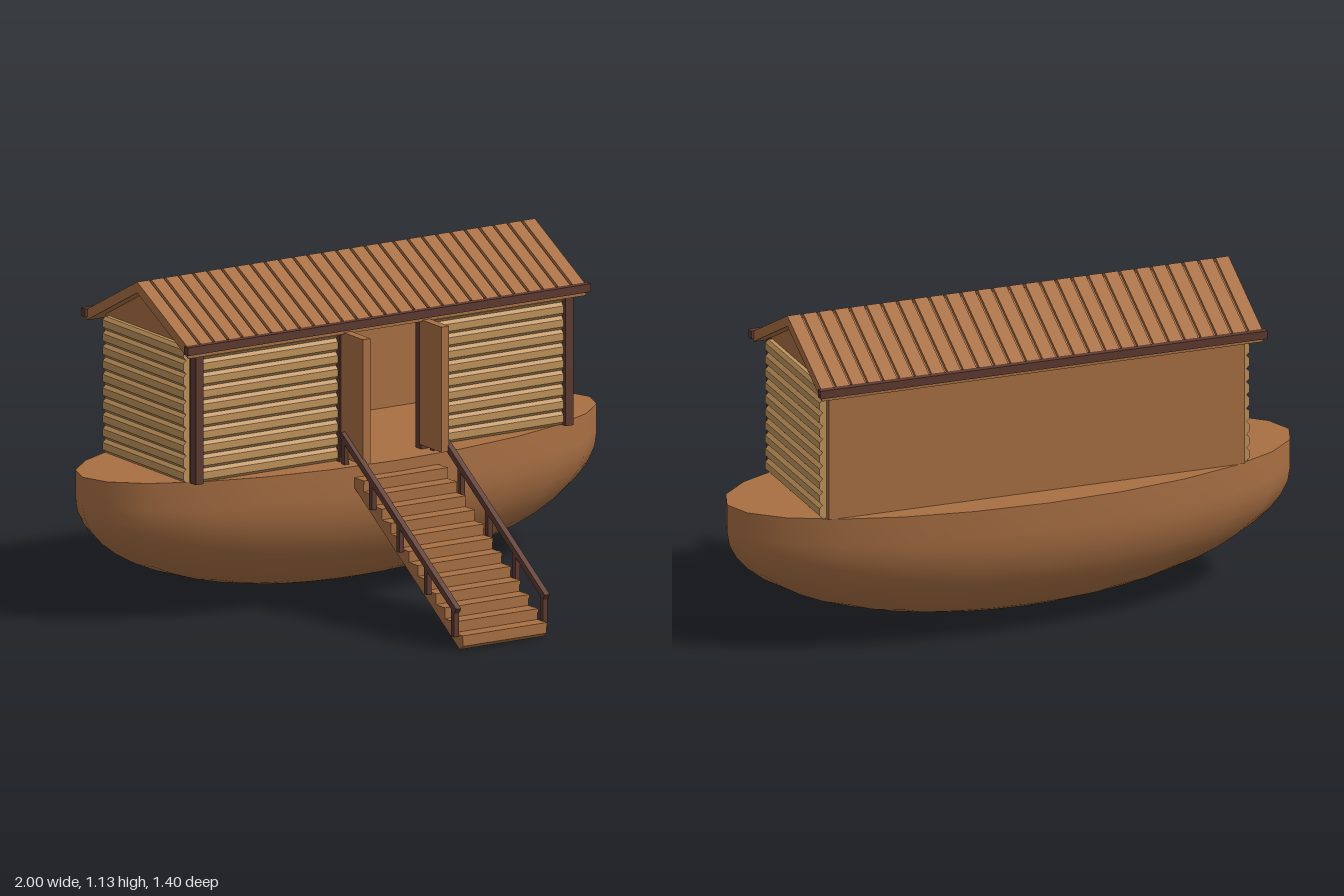
import * as THREE from 'three';

const mat = (name, color) => Object.assign(new THREE.MeshStandardMaterial({ color }), { name });

export function createModel() {
  const wood = mat('brown wood', 0xaa7044);
  const logWood = mat('pale log wood', 0xc0935c);
  const trim = mat('dark trim', 0x5e3a30);
  const model = new THREE.Group();
  model.name = 'houseBoat';
  const MID = -0.325; // depth of the ridge and the hull's centre line

  const group = (name) => {
    const g = new THREE.Group();
    g.name = name;
    model.add(g);
    return g;
  };
  const add = (parent, name, geo, material) => {
    const m = new THREE.Mesh(geo, material);
    m.name = name;
    parent.add(m);
    return m;
  };
  // Box given by its limits on each axis
  const box = (parent, name, material, [x0, x1], [y0, y1], [z0, z1]) => {
    const m = add(parent, name, new THREE.BoxGeometry(x1 - x0, y1 - y0, z1 - z0), material);
    m.position.set((x0 + x1) / 2, (y0 + y1) / 2, (z0 + z1) / 2);
    return m;
  };
  // Profile of (z, y) points, extruded along x and centred on x = 0
  const prism = (points, width) => {
    const shape = new THREE.Shape(points.map(([z, y]) => new THREE.Vector2(z, y)));
    const geo = new THREE.ExtrudeGeometry(shape, { depth: width, bevelEnabled: false });
    return geo.translate(0, 0, -width / 2).rotateY(-Math.PI / 2);
  };

  // Hull: half ellipsoid with a short upright rim
  const RIM = 0.49, WATER = 0.395, R = 0.375;
  const profile = [];
  for (let i = 0; i <= 12; i++) {
    const a = (i / 12) * Math.PI / 2;
    profile.push(new THREE.Vector2(R * Math.sin(a), WATER - R * Math.cos(a)));
  }
  profile.push(new THREE.Vector2(R, RIM));
  const hull = add(model, 'hull', new THREE.LatheGeometry(profile, 24), wood);
  hull.scale.x = 1 / R;
  hull.position.z = MID;
  const deck = add(model, 'deck', new THREE.CircleGeometry(R, 24).rotateX(-Math.PI / 2), wood);
  deck.scale.x = 1 / R;
  deck.position.set(0, RIM, MID);

  // Cabin walls, hollow behind the doorway
  const cabin = group('cabin');
  const TOP = 0.955;
  box(cabin, 'backWall', wood, [-0.74, 0.74], [RIM, TOP + 0.02], [-0.585, -0.565]);
  box(cabin, 'doorLintel', wood, [-0.17, 0.17], [0.935, TOP + 0.02], [-0.065, -0.04]);
  const ROWS = 10, pitch = (TOP - RIM) / ROWS;
  // Bevelled log: flat face outwards, chamfered top and bottom
  const h = pitch / 2;
  const logProfile = [[-0.015, -h], [0.004, -h], [0.015, -h + 0.011], [0.015, h - 0.011], [0.004, h], [-0.015, h]];
  const frontLog = prism(logProfile, 0.545);
  const sideLog = prism(logProfile, 0.49);

  for (const s of [-1, 1]) {
    const span = (a, b) => (s > 0 ? [a, b] : [-b, -a]);
    box(cabin, 'frontWall', wood, span(0.17, 0.74), [RIM, TOP], [-0.078, -0.062]);
    box(cabin, 'sideWall', wood, span(0.72, 0.74), [RIM, TOP], [-0.575, -0.065]);
    box(cabin, 'cornerPost', trim, span(0.715, 0.745), [RIM, TOP], [-0.066, -0.03]);
    box(cabin, 'doorPost', trim, span(0.145, 0.175), [RIM, TOP], [-0.066, -0.032]);
    box(cabin, 'openDoor', wood, span(0.14, 0.17), [0.507, 0.935], [-0.032, 0.1]);
    for (let i = 0; i < ROWS; i++) {
      const y = RIM + (i + 0.5) * pitch;
      add(cabin, 'frontLog', frontLog, logWood).position.set(s * 0.4425, y, -0.06);
      const side = add(cabin, 'sideLog', sideLog, logWood);
      side.position.set(s * 0.75, y, -0.32);
      side.rotation.y = s * Math.PI / 2;
    }
    const gable = add(cabin, 'gable', prism([[-0.06, TOP], [MID, 1.1], [-0.59, TOP]], 0.02), wood);
    gable.position.x = s * 0.73;
  }

  // Roof: two slopes of planks over a sheet, with dark eave beams
  const roof = group('roof');
  const PLANKS = 28, plankPitch = 1.58 / PLANKS;
  const slope = (eave, y0, y1, t) => [[0, y1], [0, y1 + t], [eave, y0 + t], [eave, y0]];
  const sheet = prism(slope(0.31, 0.93, 1.09, 0.024), 1.57);
  const plank = prism(slope(0.32, 0.948, 1.113, 0.014), plankPitch - 0.01);
  for (const turn of [0, Math.PI]) {
    const half = new THREE.Group();
    half.name = 'roofSlope';
    half.position.z = MID;
    half.rotation.y = turn;
    roof.add(half);
    add(half, 'roofSheet', sheet, wood);
    for (let i = 0; i < PLANKS; i++) {
      add(half, 'roofPlank', plank, wood).position.x = (i + 0.5) * plankPitch - 0.79;
    }
    box(half, 'eaveBeam', trim, [-0.795, 0.795], [0.944, 0.972], [0.3, 0.325]);
  }

  // Stairs: one stepped profile with a sloping underside
  const stairs = group('stairs');
  const STEPS = 12, run = 0.0548, rise = 0.0365;
  const steps = [[0.68, 0], [0.7, 0.015]];
  for (let i = 0; i < STEPS; i++) {
    const z = 0.7 - run * i, y = 0.05 + rise * i;
    steps.push([z, y], [z - run, y]);
  }
  steps.push([0.042, 0.415]);
  add(stairs, 'steps', prism(steps, 0.33), wood);
  // Thin nosings on the treads
  for (let i = 0; i < STEPS; i++) {
    const z = 0.7 - run * i, y = 0.05 + rise * i;
    box(stairs, 'treadNosing', wood, [-0.166, 0.166], [y - 0.012, y + 0.001], [z - 0.02, z + 0.003 * (i > 0)]);
  }

  // Handrails
  const railLow = [0.677, 0.137], railHigh = [-0.008, 0.585];
  const dz = railHigh[0] - railLow[0], dy = railHigh[1] - railLow[1];
  for (const s of [-1, 1]) {
    const rail = add(stairs, 'handrail', new THREE.BoxGeometry(0.02, 0.022, Math.hypot(dz, dy) + 0.015), trim);
    rail.position.set(s * 0.175, (railLow[1] + railHigh[1]) / 2, (railLow[0] + railHigh[0]) / 2);
    rail.rotation.x = Math.atan2(dy, -dz);
    for (let i = 0; i < 5; i++) {
      const z = 0.667 - i * 0.1667;
      const top = railLow[1] + dy * (z - railLow[0]) / dz;
      const x = s * 0.175;
      box(stairs, 'railPost', trim, [x - 0.009, x + 0.009], [top - 0.1, top], [z - 0.009, z + 0.009]);
    }
  }
  return model;
}
